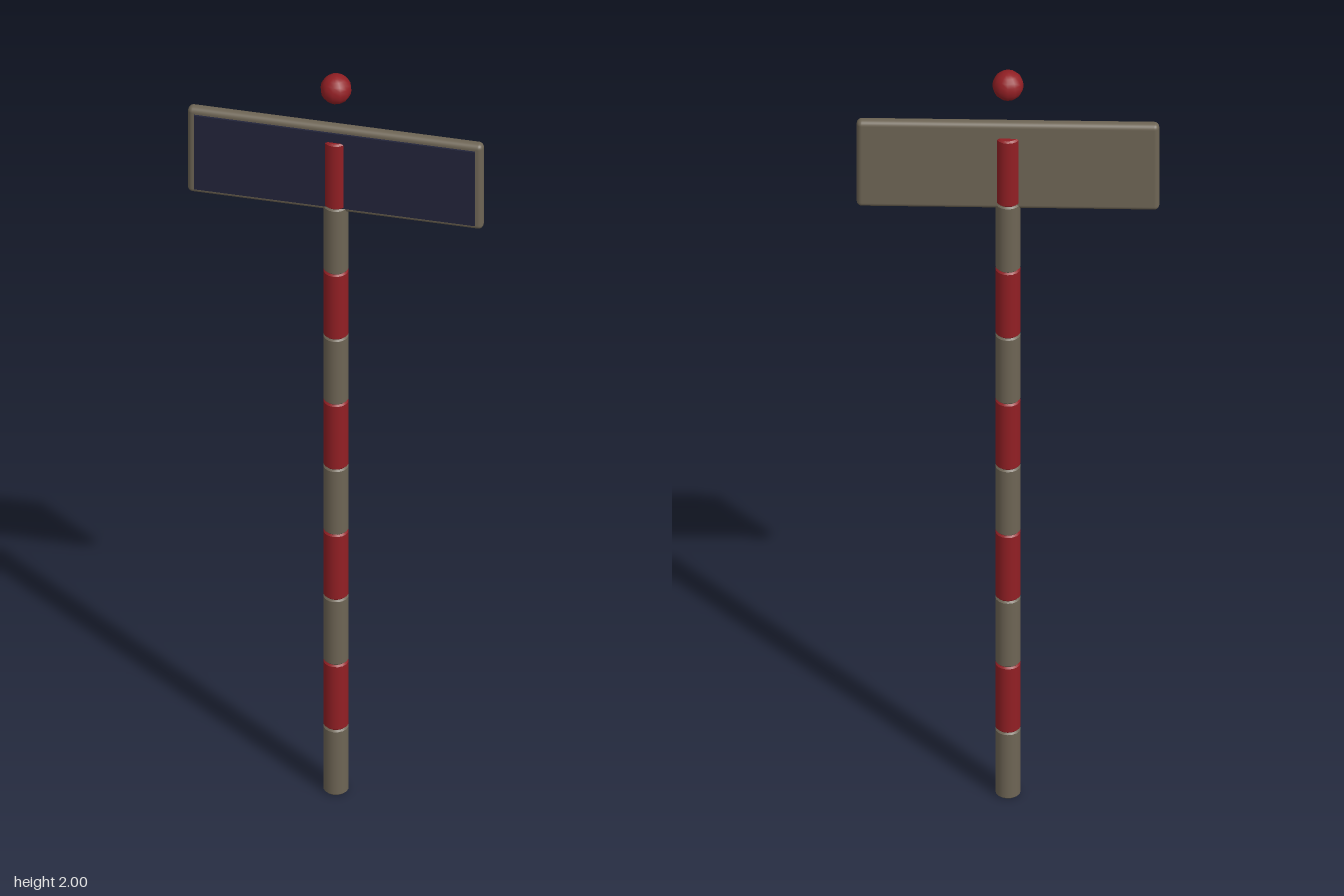
import * as THREE from 'three';
import { RoundedBoxGeometry } from 'three/addons/geometries/RoundedBoxGeometry.js';

const material = (name, color) => {
  const m = new THREE.MeshStandardMaterial({ color });
  m.name = name;
  return m;
};

export function createModel() {
  const group = new THREE.Group();
  const grey = material('warm grey', 0x6e6555);
  const red = material('signal red', 0x921f24);
  const navy = material('dark navy', 0x22243a);

  const add = (name, geometry, mat, y, z = 0) => {
    const mesh = new THREE.Mesh(geometry, mat);
    mesh.name = name;
    mesh.position.set(0, y, z);
    group.add(mesh);
  };

  // Striped pole: ten drums with slightly eased rims
  const bands = 10, h = 0.1825, r = 0.029, e = 0.004;
  const profile = [
    [0, 0], [r - e, 0], [r - e, 0], [r, e], [r, e],
    [r, h - e], [r, h - e], [r - e, h], [r - e, h], [0, h],
  ].map(([x, y]) => new THREE.Vector2(x, y));
  const drum = new THREE.LatheGeometry(profile, 16);
  for (let i = 0; i < bands; i++) {
    add(`poleBand${i + 1}`, drum, i % 2 ? red : grey, i * h);
  }

  // Sign board with rounded rim and a thin face panel on the front
  add('signBoard', new RoundedBoxGeometry(0.692, 0.236, 0.028, 3, 0.012), grey, 1.746);
  add('signPanel', new THREE.BoxGeometry(0.658, 0.206, 0.005), navy, 1.746, 0.0165);

  // Ball floating above the board
  add('topBall', new THREE.SphereGeometry(0.036, 12, 10), red, 1.964);

  return group;
}
